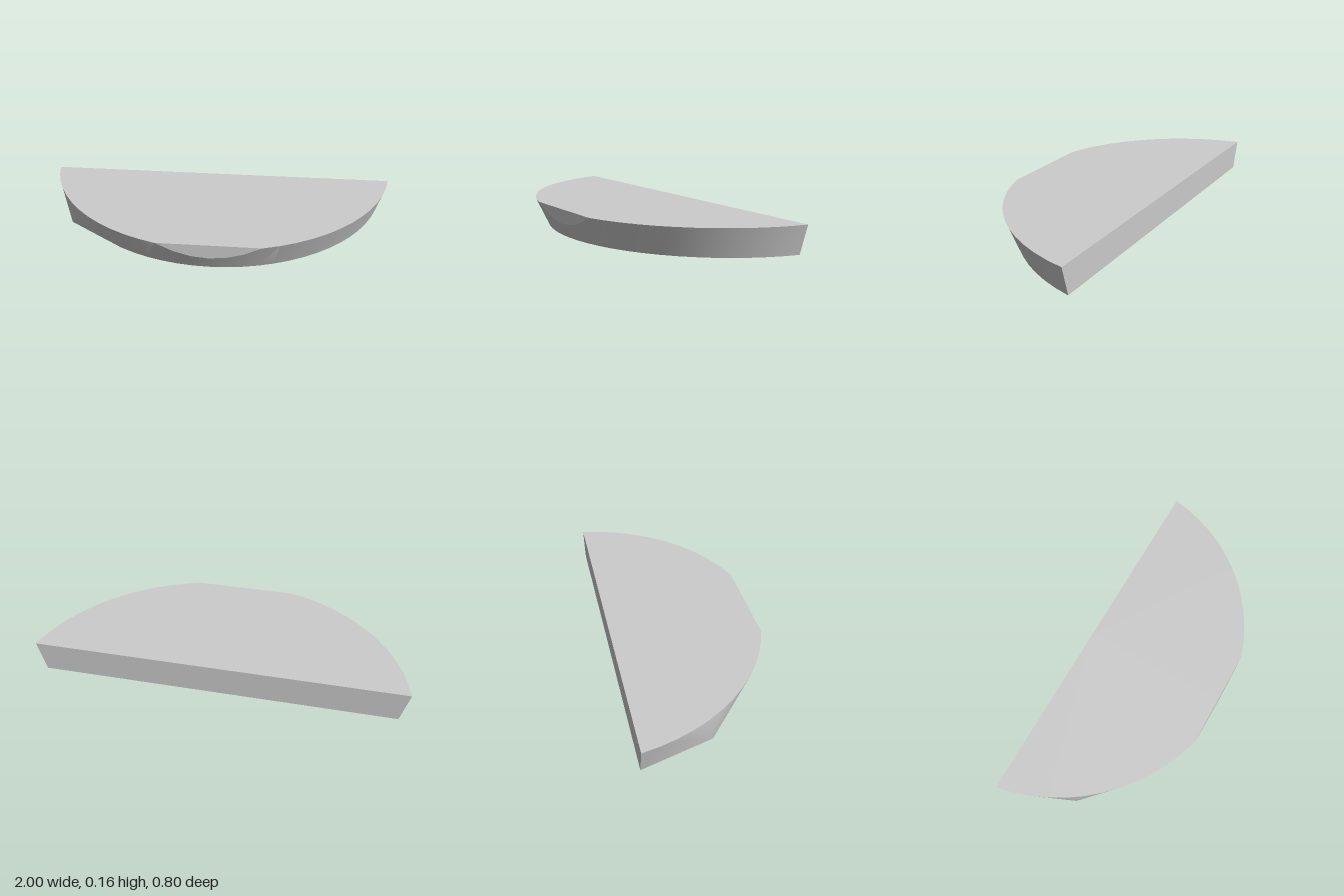
import * as THREE from 'three';
import { toCreasedNormals } from 'three/addons/utils/BufferGeometryUtils.js';

const H = 0.16, BACK = -0.4, FRONT = 0.4, N = 30;

// point on an arc about (0, cz), t from -1 (right end) to 1 (left end)
function arcPoint(t, cz, radius, halfAngle, y) {
  const a = t * halfAngle;
  return new THREE.Vector3(radius * Math.sin(a), y, cz + radius * Math.cos(a));
}

export function createModel() {
  const bottom = [], cut = [], top = [];
  for (let i = 0; i <= N; i++) {
    const t = -1 + (2 * i) / N;
    const upper = arcPoint(t, -0.576, 1.0154, 1.3966, H);
    // the lower rim is pulled out to one sharp corner on the right side
    const lower = i > 0 && t < -0.42
      ? new THREE.Vector3(-0.84, 0, -0.02)
      : arcPoint(t, -0.62, 0.98, 1.3444, 0);
    // the flat front trims the flaring wall
    const c = upper.clone();
    if (upper.z > FRONT) c.lerpVectors(lower, upper, (FRONT - lower.z) / (upper.z - lower.z));
    bottom.push(lower);
    cut.push(c);
    top.push(new THREE.Vector3(c.x, H, c.z));
  }

  const pos = [];
  const tri = (a, b, c) => {
    const area = b.clone().sub(a).cross(c.clone().sub(a)).length();
    if (area > 1e-6) for (const p of [a, b, c]) pos.push(p.x, p.y, p.z);
  };
  const quad = (a, b, c, d) => { tri(a, b, c); tri(a, c, d); };

  const topMid = new THREE.Vector3(0, H, BACK);
  const bottomMid = new THREE.Vector3(0, 0, BACK);
  for (let i = 0; i < N; i++) {
    const j = i + 1;
    quad(bottom[i], bottom[j], cut[j], cut[i]);   // flaring wall
    quad(cut[i], cut[j], top[j], top[i]);         // flat front
    tri(topMid, top[i], top[j]);                  // top face
    tri(bottomMid, bottom[j], bottom[i]);         // underside
  }
  quad(bottom[N], bottom[0], top[0], top[N]);     // straight back

  const geometry = new THREE.BufferGeometry();
  geometry.setAttribute('position', new THREE.Float32BufferAttribute(pos, 3));
  const slab = new THREE.Mesh(
    toCreasedNormals(geometry, 0.45),
    new THREE.MeshStandardMaterial({ color: 0xcccccc })
  );
  slab.name = 'halfRoundSlab';

  const group = new THREE.Group();
  group.name = 'model';
  group.add(slab);
  return group;
}
